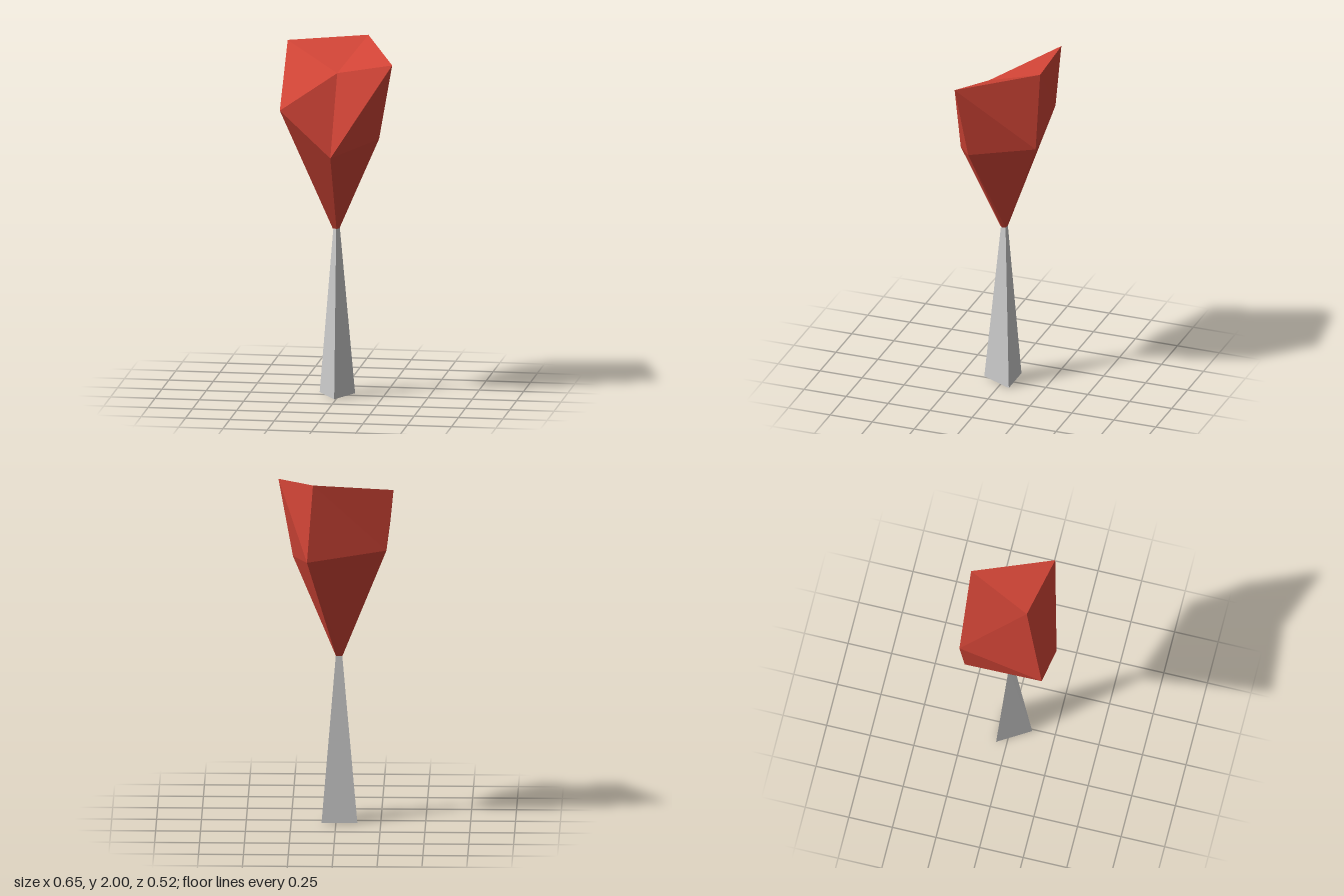
import * as THREE from 'three';

// Flat-shaded mesh from named corners and outward-facing polygons (fanned)
function facetedMesh(name, points, faces, color) {
  const pos = [];
  for (const f of faces) {
    for (let i = 1; i < f.length - 1; i++) {
      pos.push(...points[f[0]], ...points[f[i]], ...points[f[i + 1]]);
    }
  }
  const geo = new THREE.BufferGeometry();
  geo.setAttribute('position', new THREE.Float32BufferAttribute(pos, 3));
  geo.computeVertexNormals();
  const mesh = new THREE.Mesh(geo, new THREE.MeshStandardMaterial({ color, flatShading: true }));
  mesh.name = name;
  return mesh;
}

// Side faces between an upper and a lower ring of corners
const skirt = (upper, lower) => upper.map((u, i) => {
  const j = (i + 1) % upper.length;
  return [u, lower[i], lower[j], upper[j]];
});

export function createModel() {
  const group = new THREE.Group();
  group.name = 'tree';

  // Trunk: three-sided tapered post
  const trunkPoints = {
    a: [-0.01, 0, 0.12], b: [0.08, 0, -0.06], c: [-0.12, 0, -0.06],
    ta: [-0.014, 0.97, 0.02], tb: [0, 0.97, -0.01], tc: [-0.033, 0.97, -0.01],
  };
  const trunkFaces = [
    ...skirt(['ta', 'tb', 'tc'], ['a', 'b', 'c']),
    ['ta', 'tb', 'tc'], ['c', 'b', 'a'],
  ];
  group.add(facetedMesh('trunk', trunkPoints, trunkFaces, 0xcccccc));

  // Crown: irregular faceted leaf mass narrowing to the trunk
  const crownPoints = {
    // top corners
    A: [-0.325, 1.965, -0.22], B: [0.123, 2, -0.263], C: [0.325, 1.922, 0.17], D: [0.002, 1.85, 0.086],
    // widest ring
    E: [-0.297, 1.66, 0.245], F: [-0.01, 1.4, 0.26], H: [0.243, 1.49, 0.12],
    G: [0.157, 1.55, -0.249], I: [-0.285, 1.61, -0.2],
    // neck ring
    e: [-0.035, 0.95, 0.012], f: [-0.012, 0.95, 0.024], h: [0.002, 0.95, 0.01],
    g: [0, 0.95, -0.012], i: [-0.035, 0.95, -0.012],
  };
  const crownFaces = [
    ['B', 'A', 'D'], ['B', 'D', 'C'], ['A', 'E', 'D'], // top
    ['D', 'E', 'F'], ['D', 'F', 'C'], ['C', 'F', 'H'], // front
    ['C', 'H', 'G'], ['C', 'G', 'B'], // +x side
    ['B', 'G', 'I'], ['B', 'I', 'A'], // back
    ['A', 'I', 'E'], // -x side
    ...skirt(['E', 'F', 'H', 'G', 'I'], ['e', 'f', 'h', 'g', 'i']),
    ['i', 'g', 'h', 'f', 'e'],
  ];
  group.add(facetedMesh('crown', crownPoints, crownFaces, 0xd04436));

  return group;
}
